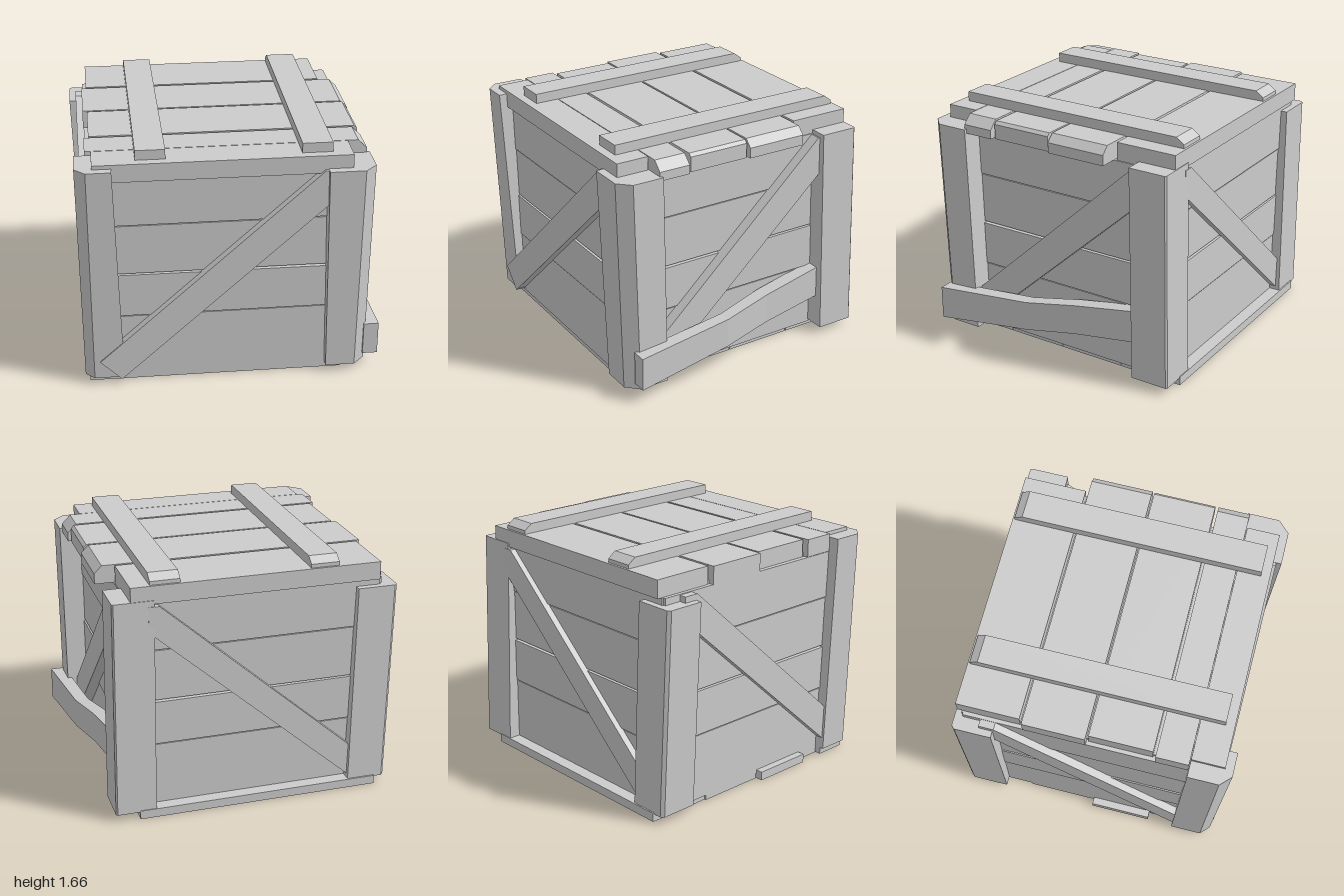
import * as THREE from 'three';
import { ConvexGeometry } from 'three/addons/geometries/ConvexGeometry.js';

export function createModel() {
  const crate = new THREE.Group();
  crate.name = 'crate';
  const wood = new THREE.MeshStandardMaterial({ color: 0xcccccc });
  wood.name = 'greyWood';

  const add = (name, geometry) => {
    const mesh = new THREE.Mesh(geometry, wood);
    mesh.name = name;
    crate.add(mesh);
    return mesh;
  };
  // Solid spanned by corner points
  const solid = (name, points) =>
    add(name, new ConvexGeometry(points.map((p) => new THREE.Vector3(...p))));
  // Straight box given by its limits
  const block = (name, x0, x1, y0, y1, z0, z1) => {
    const mesh = add(name, new THREE.BoxGeometry(x1 - x0, y1 - y0, z1 - z0));
    mesh.position.set((x0 + x1) / 2, (y0 + y1) / 2, (z0 + z1) / 2);
    return mesh;
  };

  // Inner core, seen only through the gaps
  block('core', -0.87, 0.74, 0.02, 1.5, -0.81, 0.79);

  // Wall planks, stacked with narrow gaps and a slight sag at one end
  const seams = [0.03, 0.49, 0.8, 1.15, 1.48];
  for (let i = 0; i < 4; i++) {
    const a = seams[i] + 0.004;
    const b = seams[i + 1] - 0.004;
    const sag = i % 2 ? 0.006 : 0;
    const out = i % 2 ? 0.006 : 0;
    const corners = (map) => [[0, a, 0], [0, b, 0], [1, a, 0], [1, b - sag, 0],
      [0, a, 1], [0, b, 1], [1, a, 1], [1, b - sag, 1]].map(map);
    solid('frontWallPlank', corners(([u, y, d]) => [-0.89 + 1.65 * u, y, 0.78 + (0.045 + out) * d]));
    solid('backWallPlank', corners(([u, y, d]) => [-0.89 + 1.65 * u, y, -0.8 - (0.045 + out) * d]));
    solid('rightWallPlank', corners(([u, y, d]) => [0.73 + (0.04 + out) * d, y, -0.84 + 1.66 * u]));
    solid('leftWallPlank', corners(([u, y, d]) => [-0.86 - (0.04 + out) * d, y, -0.84 + 1.66 * u]));
  }

  // Floor planks: x0, x1, z0, z1
  [[-0.89, 0.75, -0.93, -0.48], [-0.9, 0.75, -0.475, -0.005], [-0.95, 0.75, 0, 0.42],
    [-0.9, 0.75, 0.425, 0.6], [-0.94, 0.75, 0.605, 0.82]]
    .forEach(([x0, x1, z0, z1]) => block('floorPlank', x0, x1, 0, 0.06, z0, z1));

  // Lid planks with a chamfered upper edge at one end: x0, x1, z0, z1, chamfer
  [[-0.88, 0.77, -0.88, -0.46, 0], [-0.91, 0.9, -0.44, -0.025, 0.05], [-0.88, 0.88, -0.01, 0.41, 0.02],
    [-0.91, 0.9, 0.43, 0.645, 0.06], [-0.87, 0.77, 0.65, 0.87, 0]]
    .forEach(([x0, x1, z0, z1, c]) => {
      const points = [];
      for (const z of [z0, z1]) {
        points.push([x0, 1.475, z], [x0, 1.595, z], [x1, 1.475, z],
          [x1, 1.595 - c, z], [x1 - c, 1.595, z]);
      }
      solid('lidPlank', points);
    });

  // Lid battens, sloped at the back end
  for (const [x0, x1] of [[-0.6, -0.41], [0.45, 0.645]]) {
    const points = [];
    for (const x of [x0, x1]) {
      points.push([x, 1.59, 0.81], [x, 1.66, 0.81], [x, 1.66, -0.81], [x, 1.62, -0.865], [x, 1.59, -0.865]);
    }
    solid('lidBatten', points);
  }

  // Leaning corner posts. Each level: inner x, outer x, inner z, outer z, chamfer
  const post = (name, y0, low, y1, high) => {
    const points = [];
    for (const [y, [xi, xo, zi, zo, c]] of [[y0, low], [y1, high]]) {
      const sx = Math.sign(xo) * c;
      const sz = Math.sign(zo) * c;
      points.push([xi, y, zi], [xi, y, zo], [xo - sx, y, zo], [xo, y, zo - sz], [xo, y, zi]);
    }
    solid(name, points);
  };
  post('frontRightPost', 0.05, [0.64, 0.915, 0.6, 0.885, 0.08], 1.505, [0.61, 0.92, 0.63, 0.925, 0.08]);
  post('frontLeftPost', 0.05, [-0.71, -0.97, 0.6, 0.875, 0.06], 1.57, [-0.75, -0.98, 0.65, 0.925, 0.07]);
  post('backRightPost', 0.05, [0.64, 0.91, -0.66, -0.925, 0.01], 1.5, [0.62, 0.89, -0.62, -0.885, 0.01]);
  post('backLeftPost', 0.05, [-0.7, -0.965, -0.65, -0.92, 0.02], 1.43, [-0.73, -1.0, -0.63, -0.895, 0.02]);

  // Diagonal braces: outline in the wall plane, extended to a depth range
  const braceOnZ = (name, outline, z0, z1) =>
    solid(name, outline.flatMap(([x, y]) => [[x, y, z0], [x, y, z1]]));
  const braceOnX = (name, outline, x0, x1) =>
    solid(name, outline.flatMap(([z, y]) => [[x0, y, z], [x1, y, z]]));
  braceOnZ('frontBrace', [[-0.87, 0.18], [-0.73, 0.04], [0.64, 1.28], [0.64, 1.5], [0.59, 1.5]], 0.81, 0.89);
  braceOnZ('backBrace', [[-0.83, 0.2], [-0.72, 0.07], [0.66, 1.29], [0.66, 1.46], [0.59, 1.46]], -0.89, -0.83);
  braceOnX('rightBrace', [[0.66, 0.29], [0.56, 0.12], [-0.65, 1.23], [-0.65, 1.47], [-0.61, 1.47]], 0.76, 0.85);
  braceOnX('leftBrace', [[0.8, 0.2], [0.68, 0.06], [-0.72, 1.31], [-0.72, 1.47], [-0.62, 1.47]], -0.955, -0.89);

  // Loose bent plank across the right side: z, bottom y, top y, inner x, outer x
  const stations = [[0.84, 0.1, 0.33, 0.9, 1.0], [0.15, 0.18, 0.385, 0.86, 0.95],
    [-0.2, 0.225, 0.435, 0.79, 0.89], [-0.67, 0.28, 0.505, 0.75, 0.85]];
  for (let i = 0; i < 3; i++) {
    solid('loosePlank', [stations[i], stations[i + 1]].flatMap(([z, y0, y1, x0, x1]) =>
      [[x0, y0, z], [x0, y1, z], [x1, y0, z], [x1, y1, z]]));
  }

  return crate;
}
